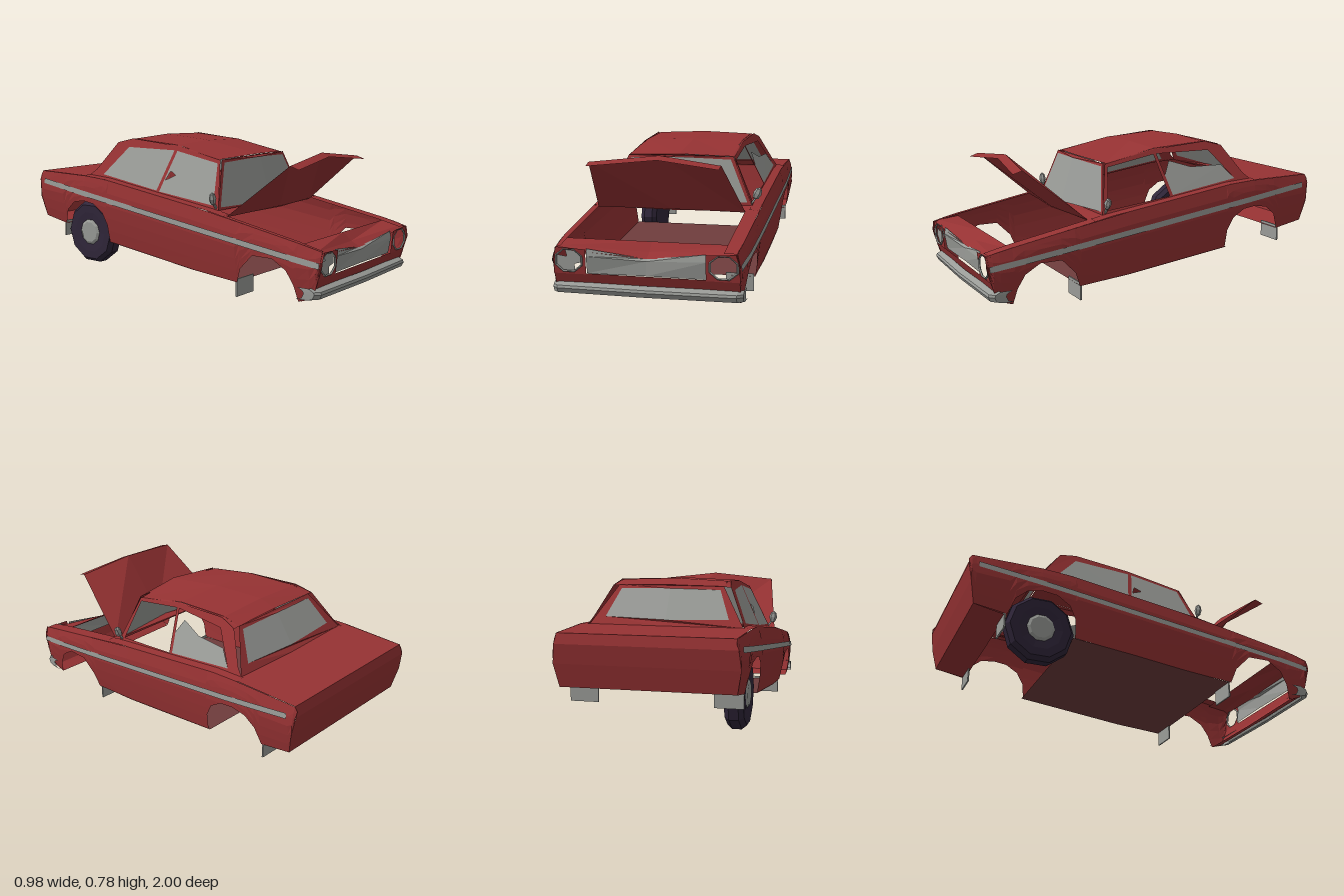
import * as THREE from 'three';

const paint = (name, color) => {
  const m = new THREE.MeshStandardMaterial({ color, side: THREE.DoubleSide, flatShading: true });
  m.name = name;
  return m;
};

export function createModel() {
  const car = new THREE.Group();
  car.name = 'oldSaloon';
  const red = paint('red paint', 0x963233);
  const grey = paint('grey trim and glass', 0x999b97);
  const dark = paint('tyre', 0x30263a);
  const brown = paint('floor', 0x6e3c3c);

  const add = (name, geo, mat) => {
    const m = new THREE.Mesh(geo, mat);
    m.name = name;
    car.add(m);
    return m;
  };

  // Surface through rows of equally many points
  const loft = (name, rows, mat) => {
    const n = rows[0].length, idx = [];
    for (let i = 0; i < rows.length - 1; i++)
      for (let j = 0; j < n - 1; j++) {
        const a = i * n + j, b = a + n;
        idx.push(a, b, a + 1, b, b + 1, a + 1);
      }
    const g = new THREE.BufferGeometry();
    g.setAttribute('position', new THREE.Float32BufferAttribute(rows.flat(2), 3));
    g.setIndex(idx);
    const flat = g.toNonIndexed();
    flat.computeVertexNormals();
    return add(name, flat, mat);
  };

  // Flat outline with holes, placed in space by a rule
  const plate = (name, outline, holes, rule, mat) => {
    const vec = a => a.map(p => new THREE.Vector2(p[0], p[1]));
    const s = new THREE.Shape(vec(outline));
    holes.forEach(h => s.holes.push(new THREE.Path(vec(h))));
    const g = new THREE.ShapeGeometry(s).toNonIndexed();
    const p = g.attributes.position;
    for (let i = 0; i < p.count; i++) p.setXYZ(i, ...rule(p.getX(i), p.getY(i)));
    g.computeVertexNormals();
    return add(name, g, mat);
  };

  // Piecewise linear curve through [key, value] pairs in rising order
  const curve = pts => k => {
    let i = 1;
    while (i < pts.length - 1 && k > pts[i][0]) i++;
    const [a, b] = [pts[i - 1], pts[i]];
    const t = THREE.MathUtils.clamp((k - a[0]) / (b[0] - a[0]), 0, 1);
    return a[1] + (b[1] - a[1]) * t;
  };
  const belt = curve([[-1, .53], [-.985, .553], [-.6, .55], [-.45, .54], [.3, .435], [.42, .412], [.9, .325], [1, .3]]);
  const sill = curve([[-1, .28], [-.42, .18], [.49, .08], [1, .03]]);
  const width = curve([[-1, .468], [-.6, .481], [.5, .484], [.9, .48], [1, .47]]);
  const bulge = curve([[0, .945], [.3, .98], [.6, 1], [.85, .985], [1, .955]]);
  const bodyX = (y, z) => width(z) * bulge((y - sill(z)) / (belt(z) - sill(z)));

  // Lower edge of the side panels, with both wheel arches
  const edge = [[1, .24], [.965, .12], [.93, .06], [.86, .04], [.84, .12], [.8, .19], [.72, .24], [.6, .24],
    [.52, .16], [.49, .08], [.2, .105], [-.1, .142], [-.42, .18], [-.425, .28], [-.46, .35], [-.53, .395], [-.61, .405],
    [-.69, .39], [-.75, .34], [-.785, .25], [-.96, .28], [-.985, .4], [-1, .5]];

  for (const s of [-1, 1]) {
    const side = s < 0 ? 'right' : 'left';
    loft(side + 'SidePanel', edge.map(([z, yb]) => [0, .2, .4, .6, .8, 1].map(t => {
      const y = yb + (belt(z) - yb) * t;
      return [s * bodyX(y, z), y, z];
    })), red);

    // Long trim stripe
    const stripe = [];
    for (let i = 0; i <= 10; i++) {
      const z = .985 - i * .1935, y = .236 + i * .026;
      stripe.push([-.015, .015].map(d => [s * (bodyX(y + d, z) + .006), y + d, z]));
    }
    loft(side + 'TrimStripe', stripe, grey);

    // Fender top and shoulder below the windows
    const inner = s < 0 ? .43 : .388;
    loft(side + 'FenderTop', [.985, .85, .6, .4].map(z =>
      [[s * bodyX(belt(z), z), belt(z), z], [s * inner, belt(z), z]]), red);
    loft(side + 'Shoulder', [.4, .3, 0, -.3, -.45, -.62].map(z =>
      [[s * bodyX(belt(z), z), belt(z), z], [s * .408, belt(z) + .005, z]]), red);

    // Window frames, leaning inwards
    const lean = (z, y) => [s * (.415 - .47 * (y - belt(z))), y, z];
    const front = [[.295, .455], [.25, .668], [-.035, .718], [-.08, .498]];
    const rear = [[-.1, .502], [-.055, .72], [-.38, .722], [-.51, .562]];
    plate(side + 'WindowFrame', [[.335, .428], [.262, .685], [-.05, .745], [-.37, .77], [-.47, .745],
      [-.575, .585], [-.62, .548], [-.45, .54], [0, .475]], [front, rear], lean, red);
    if (s < 0) {
      plate('rightFrontGlass', front, [[[-.06, .56], [.0, .59], [-.04, .61]]], lean, grey);
      plate('rightRearGlass', rear, [], lean, grey);
    } else {
      // Broken pane
      plate('leftRearShard', [[-.1, .502], [-.075, .6], [-.12, .68], [-.25, .64], [-.44, .64], [-.51, .562]], [], lean, grey);
    }

    // Headlight surround and rim
    const eye = [];
    for (let i = 0; i < 8; i++) {
      const a = (i + .5) * Math.PI / 4;
      eye.push([s * .387 + .074 * Math.cos(a), .235 + .061 * Math.sin(a)]);
    }
    const face = (x, y) => [x, y, .985 + (y - .23) * .1];
    plate(side + 'HeadlightPanel', [[s * .3, .165], [s * .467, .165], [s * .468, .24], [s * .455, .3], [s * .3, .292]],
      [eye], face, red);
    const rim = add(side + 'HeadlightRim', new THREE.TorusGeometry(.07, .006, 4, 8).rotateZ(Math.PI / 8), grey);
    rim.scale.set(1.03, .85, 1);
    rim.position.set(s * .387, .235, .986);
    if (s < 0) plate('brokenHeadlightGlass', [eye[0], eye[1], [-.41, .285], [-.4, .25], eye[3], eye[4], eye[5],
      [-.36, .178], [-.36, .215], [-.318, .225]], [], (x, y) => [x, y, .975], grey);

    // Mud flaps
    for (const [n, y, z, h] of [['Front', .047, .48, .094], ['Rear', .22, -.795, .09]])
      add(side + n + 'MudFlap', new THREE.BoxGeometry(.15, h, .008), grey).position.set(s * .375, y, z);

    // Door mirror
    const mirror = add(side + 'Mirror', new THREE.SphereGeometry(1, 6, 4), grey);
    mirror.scale.set(.023, .036, .018);
    mirror.position.set(s * .437, .497, .315);
    mirror.rotation.z = s < 0 ? .15 : -.45;
    const stem = add(side + 'MirrorStem', new THREE.BoxGeometry(.01, .06, .01), grey);
    stem.position.set(s * .415, .455, .315);
    stem.rotation.z = -s * .6;
  }

  // Row of three points: both sides and a centre
  const row = (x, y, z, cy = y, cz = z) => [[-x, y, z], [0, cy, cz], [x, y, z]];

  // Roof
  loft('roof', [row(.285, .688, .255, .7, .3), row(.283, .748, -.05, .757), row(.283, .768, -.37, .779),
    row(.285, .745, -.47, .752)], red);
  for (const s of [-1, 1])
    loft('roofRail', [[.255, .688, .685], [-.05, .748, .74], [-.37, .768, .762], [-.47, .745, .742]].map(([z, y, low]) =>
      [[s * .284, y, z], [s * (.415 - .47 * (low - belt(z))), low, z]]), red);

  // Windscreen with bent centre
  const screen = (x, y) => [x, y, .33 - (y - .432) * .3 + .06 * (1 - Math.abs(x) / .41)];
  plate('windscreenFrame', [[-.41, .432], [0, .425], [.41, .432], [.297, .688], [0, .7], [-.297, .688]],
    [[[-.385, .447], [0, .442], [.385, .447], [.283, .672], [0, .684], [-.283, .672]]], screen, red);
  loft('windscreen', [[[-.385, .447], [0, .442], [.385, .447]], [[-.283, .672], [0, .684], [.283, .672]]]
    .map(r => r.map(p => screen(...p))), grey);

  // Rear window
  const back = (x, y) => [x, y, -.47 - (.748 - y) * .68 - .012 * (1 - Math.abs(x) / .4)];
  plate('rearWindowFrame', [[-.41, .548], [0, .548], [.41, .548], [.284, .748], [0, .752], [-.284, .748]],
    [[[-.33, .588], [0, .58], [.33, .588], [.268, .73], [0, .734], [-.268, .73]]], back, red);
  loft('rearWindow', [[[-.33, .588], [0, .58], [.33, .588]], [[-.268, .73], [0, .734], [.268, .73]]]
    .map(r => r.map(p => back(...p))), grey);

  // Cowl, boot lid and tail
  loft('cowl', [row(.455, .413, .4, .413, .45), row(.41, .433, .33, .425, .39)], red);
  loft('bootLid', [row(.455, .55, -.6), row(.446, .553, -.985)], red);
  loft('tailPanel', [row(.446, .553, -.985), row(.457, .5, -1), row(.468, .4, -.985), row(.445, .28, -.96),
    row(.44, .25, -.785)], red);

  // Nose, grille and valance
  loft('noseLip', [row(.45, .318, .85), row(.455, .303, .965, .276, .9), row(.455, .29, .988, .25, .95)], red);
  loft('grille', [row(.3, .292, .972, .25, .945), row(.3, .255, .98, .24, .96), row(.3, .168, .965, .168, .96)], grey);
  loft('valance', [row(.467, .17, .979), row(.463, .11, .955), row(.458, .06, .925), row(.452, .038, .862, .033)], red);

  // Front bumper, wrapped round the corners
  const section = [[.06, .945], [.068, .978], [.092, .99], [.105, .985], [.12, .955]];
  loft('frontBumper', [[-.48, -.085], [-.478, -.025], [-.45, 0], [0, .01], [.45, 0], [.478, -.025], [.48, -.085]]
    .map(([x, d]) => section.map(([y, z]) => [x, y, z + d])), grey);

  // Raised, skewed bonnet
  loft('bonnet', [
    [[-.435, .408, .4], [0, .418, .45], [.388, .405, .4]],
    [[-.365, .693, .745], [0, .73, .71], [.325, .69, .745]],
    [[-.362, .676, .795], [0, .71, .755], [.322, .674, .795]]], red);

  // Floor
  loft('floor', [row(.455, .08, .485), row(.46, .105, .2), row(.46, .142, -.1), row(.455, .18, -.43)], brown);

  // The one remaining wheel
  const tyre = [[0, -.04], [.12, -.05], [.165, -.05], [.186, -.025], [.186, .025], [.165, .05], [.12, .05], [0, .04]];
  const wheel = add('rearWheel', new THREE.LatheGeometry(tyre.map(p => new THREE.Vector2(...p)), 10)
    .rotateZ(Math.PI / 2), dark);
  wheel.position.set(-.39, .215, -.6);
  const hub = add('hubcap', new THREE.CylinderGeometry(.06, .085, .014, 10).rotateZ(Math.PI / 2), grey);
  hub.position.set(-.438, .215, -.6);

  return car;
}
